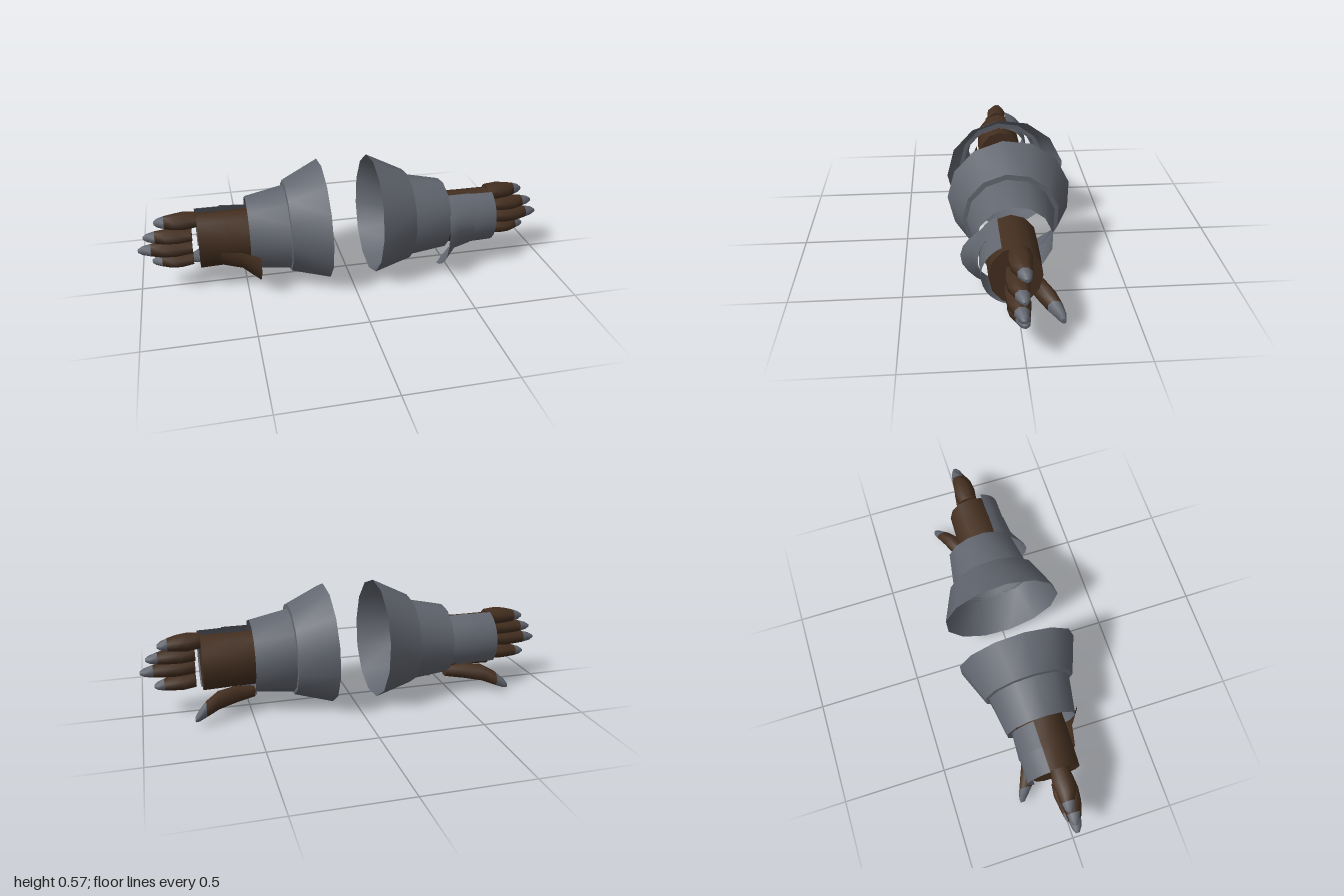
import * as THREE from 'three';

const D = Math.PI / 180;
const grey = new THREE.MeshStandardMaterial({ color: 0x62666f, side: THREE.DoubleSide });
grey.name = 'steel grey';
const brown = new THREE.MeshStandardMaterial({ color: 0x442f20, side: THREE.DoubleSide });
brown.name = 'brown leather';

// Skin a list of point rings; s = -1 mirrors the result in x.
function loft(rings, s, { closed = true, capStart = false, capEnd = false } = {}) {
  const n = rings[0].length, pos = [], idx = [];
  const tri = (a, b, c) => (s > 0 ? idx.push(a, b, c) : idx.push(a, c, b));
  const add = (p) => pos.push(p[0] * s, p[1], p[2]) / 3 - 1;
  rings.forEach((r) => r.forEach(add));
  for (let i = 0; i < rings.length - 1; i++) {
    for (let j = 0; j < (closed ? n : n - 1); j++) {
      const a = i * n + j, b = i * n + (j + 1) % n;
      tri(a, b, a + n);
      tri(b, b + n, a + n);
    }
  }
  const cap = (ring, flip) => {
    const ids = ring.map(add);
    for (let j = 1; j < n - 1; j++) {
      if (flip) tri(ids[0], ids[j + 1], ids[j]);
      else tri(ids[0], ids[j], ids[j + 1]);
    }
  };
  if (capStart) cap(rings[0], true);
  if (capEnd) cap(rings[rings.length - 1], false);
  const g = new THREE.BufferGeometry();
  g.setAttribute('position', new THREE.Float32BufferAttribute(pos, 3));
  g.setIndex(idx);
  g.computeVertexNormals();
  return g;
}

// Elliptical ring across the arm: angle runs from +z up towards +y.
function ring(x, y, z, ry, rz, n, start = 90, slant = 0) {
  return Array.from({ length: n }, (_, i) => {
    const a = start * D - (i / n) * Math.PI * 2;
    return [x + slant * Math.sin(a), y + ry * Math.sin(a), z + rz * Math.cos(a)];
  });
}

function part(group, name, geometry, material) {
  const m = new THREE.Mesh(geometry, material);
  m.name = name;
  group.add(m);
}

// Two overlapping flared cuffs, open at both ends
function addSleeve(g, s) {
  const N = 13, A = 84;
  part(g, 'outerCuff', loft([
    ring(0.117, 0.288, 0, 0.288, 0.29, N, A, 0.007),
    ring(0.295, 0.27, 0.004, 0.22, 0.22, N, A, 0.003),
  ], s), grey);
  part(g, 'cuffRim', loft([
    ring(0.295, 0.27, 0.004, 0.22, 0.22, N, A, 0.003),
    ring(0.297, 0.265, 0.004, 0.2, 0.2, N, A, 0.003),
  ], s), grey);
  part(g, 'innerCuff', loft([
    ring(0.29, 0.265, 0.004, 0.202, 0.203, N, A, 0.003),
    ring(0.483, 0.255, 0.003, 0.172, 0.17, N, A),
  ], s), grey);
}

// Rounded finger along a path of [x, y, z, ry, rz]; the last stations form the grey tip
function addFinger(g, s, name, path, tipFrom) {
  const rings = path.map(([x, y, z, ry, rz]) => ring(x, y, z, ry, rz, 8, 112.5));
  part(g, name, loft(rings.slice(0, tipFrom + 1), s, { capStart: true }), brown);
  part(g, name + 'Tip', loft(rings.slice(tipFrom), s, { capEnd: true }), grey);
}

// Curved guard: an open arc of rows, each given as a function of the angle
function arc(from, to, cz, cy, at) {
  const n = 12;
  return Array.from({ length: n + 1 }, (_, i) => {
    const a = from + (to - from) * i / n, [x, r] = at(a);
    return [x, cy + r * Math.sin(a * D), cz + r * Math.cos(a * D)];
  });
}
const flare = (a) => THREE.MathUtils.smoothstep(-a, -35, 30);

function createGauntlet(s) {
  const g = new THREE.Group();
  g.name = s > 0 ? 'leftGauntlet' : 'rightGauntlet';
  addSleeve(g, s);

  // Wrist, closed at the hand end
  const cz = s > 0 ? 0.018 : 0.002;
  part(g, 'wrist', loft([
    ring(0.45, 0.24, cz, 0.132, 0.116, 12),
    ring(0.58, 0.238, cz, 0.132, 0.116, 12),
    ring(0.715, 0.236, cz, 0.136, 0.112, 12),
  ], s, { capEnd: true }), brown);

  // Four fingers: start x, y, z, tip x, tip y, half height
  [
    ['indexFinger', 0.715, 0.35, 0.005, 0.91, 0.343, 0.041],
    ['middleFinger', 0.742, 0.283, 0.018, 0.965, 0.278, 0.038],
    ['ringFinger', 0.745, 0.222, 0.022, 0.995, 0.215, 0.04],
    ['littleFinger', 0.745, 0.155, 0.012, 0.935, 0.147, 0.037],
  ].forEach(([name, x, y, z, tx, ty, h]) => {
    const L = tx - x;
    const at = (t, ry, rz, dz = 0) => [x + L * t, y + (ty - y) * t, z + dz, h * ry, rz];
    addFinger(g, s, name, [
      at(0, 0.85, 0.045), at(0.3, 1.02, 0.053), at(0.55, 0.92, 0.046),
      at(0.76, 0.74, 0.032, -0.008), at(0.92, 0.5, 0.022, -0.012), at(1, 0.2, 0.009, -0.014),
    ], 3);
  });

  // Thumb, angled down and to the back
  addFinger(g, s, 'thumb', [
    [0.48, 0.095, -0.055, 0.024, 0.03], [0.57, 0.1, -0.08, 0.038, 0.042],
    [0.655, 0.094, -0.115, 0.042, 0.043], [0.715, 0.07, -0.148, 0.036, 0.034],
    [0.75, 0.05, -0.17, 0.025, 0.022], [0.768, 0.038, -0.178, 0.012, 0.011],
  ], 3);

  if (s > 0) {
    // Front guard in two bands, with a flared lower corner
    const C = [0.018, 0.245];
    part(g, 'handGuard', loft([
      arc(66, -80, ...C, () => [0.6, 0.146]),
      arc(66, -80, ...C, () => [0.722, 0.143]),
    ], s, { closed: false }), grey);
    part(g, 'wristGuard', loft([
      arc(66, -74, ...C, (a) => [0.48 - 0.03 * flare(a), 0.15 + 0.092 * flare(a)]),
      arc(66, -77, ...C, (a) => [0.53 - 0.01 * flare(a), 0.15 + 0.022 * flare(a)]),
      arc(66, -80, ...C, () => [0.608, 0.15]),
    ], s, { closed: false }), grey);
  } else {
    // Back guard
    const C = [0.0, 0.245];
    part(g, 'handGuard', loft([
      arc(106, 222, ...C, () => [0.6, 0.143]),
      arc(106, 222, ...C, () => [0.722, 0.143]),
    ], s, { closed: false }), grey);
    part(g, 'wristGuard', loft([
      arc(106, 222, ...C, () => [0.48, 0.14]),
      arc(106, 222, ...C, () => [0.605, 0.147]),
    ], s, { closed: false }), grey);
    // Leather flap flaring out below the cuff
    part(g, 'leatherFlap', loft([
      arc(-5, -75, 0.005, 0.235, (a) => [0.44, 0.15 + 0.066 * flare(a)]),
      arc(-5, -80, 0.005, 0.235, (a) => [0.52, 0.125 + 0.025 * flare(a)]),
      arc(-5, -85, 0.005, 0.235, () => [0.62, 0.122]),
    ], s, { closed: false }), brown);
  }
  return g;
}

export function createModel() {
  const model = new THREE.Group();
  model.name = 'gauntletPair';
  model.add(createGauntlet(1), createGauntlet(-1));
  return model;
}
